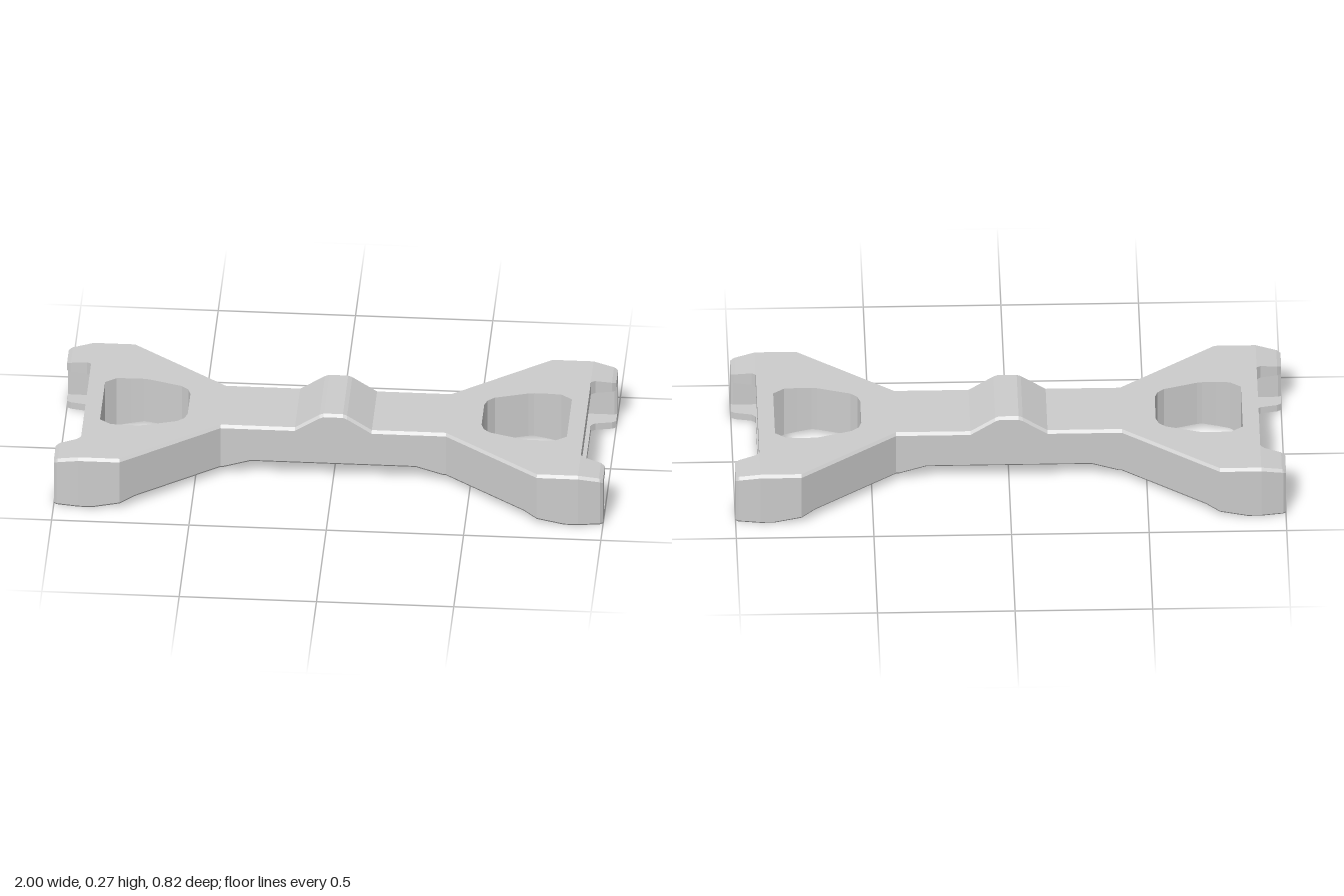
import * as THREE from 'three';

// Piecewise linear profile lookup
const profile = (pts) => (x) => {
  for (let i = 1; i < pts.length; i++) {
    const [x0, v0] = pts[i - 1], [x1, v1] = pts[i];
    if (x <= x1) return v0 + (v1 - v0) * (x - x0) / (x1 - x0);
  }
  return pts[pts.length - 1][1];
};

// Plan half-width, top and bottom heights along x
const outer = profile([[0, 0.145], [0.41, 0.145], [0.76, 0.41], [0.91, 0.41], [0.99, 0.398], [1, 0.39]]);
const top = profile([[0, 0.273], [0.035, 0.273], [0.05, 0.267], [0.14, 0.21], [0.91, 0.21], [0.985, 0.195], [1, 0.188]]);
const bottom = profile([[0, 0.06], [0.3, 0.06], [0.4, 0.03], [0.71, 0.03], [0.85, 0.002], [0.86, 0], [1, 0]]);

const SLOT_LOW = 0.027, SLOT_HIGH = 0.157, SLOT_BACK = 0.88;
const CHAMFER = 0.01;

// Loft one quarter from stations [x, inner z], then mirror it to all four quarters
function loft(stations, yb, yt, chamferBottom, chamferTop) {
  const sections = stations.map(([x, zi]) => {
    const zo = outer(x), lo = yb(x), hi = yt(x);
    const cb = chamferBottom ? CHAMFER : 0, ct = chamferTop ? CHAMFER : 0;
    return [[x, lo, zi], [x, lo, zo - cb], [x, lo + cb, zo], [x, hi - ct, zo], [x, hi, zo - ct], [x, hi, zi]];
  });
  const tris = [];
  const quad = (a, b, c, d) => tris.push([a, b, c], [a, c, d]);
  for (let i = 1; i < sections.length; i++) {
    const A = sections[i - 1], B = sections[i];
    for (let k = 0; k < 6; k++) {
      const n = (k + 1) % 6;
      if (k === 5 && A[0][2] === 0 && B[0][2] === 0) continue; // open on the centre plane
      quad(A[k], B[k], B[n], A[n]);
    }
  }
  const end = sections[sections.length - 1];
  for (let k = 1; k < 5; k++) tris.push([end[0], end[k + 1], end[k]]);

  const pos = [];
  for (const sx of [1, -1]) for (const sz of [1, -1]) {
    for (const t of tris) {
      const order = sx * sz > 0 ? t : [t[0], t[2], t[1]];
      for (const [x, y, z] of order) pos.push(x * sx, y, z * sz);
    }
  }
  const geo = new THREE.BufferGeometry();
  geo.setAttribute('position', new THREE.Float32BufferAttribute(pos, 3));
  geo.computeVertexNormals();
  return geo;
}

export function createModel() {
  const group = new THREE.Group();
  const material = new THREE.MeshStandardMaterial({ color: 0xcccccc, flatShading: true });
  const add = (name, geo) => {
    const mesh = new THREE.Mesh(geo, material);
    mesh.name = name;
    group.add(mesh);
  };

  // Waisted body with the centre ridge and a window in each flared end
  const body = [
    [0, 0], [0.035, 0], [0.05, 0], [0.14, 0], [0.3, 0], [0.4, 0], [0.41, 0],
    [0.535, 0], [0.535, 0.07], [0.545, 0.1], [0.57, 0.122], [0.69, 0.16], [0.71, 0.163], [0.76, 0.163],
    [0.81, 0.16], [0.85, 0.13], [0.85, 0], [0.86, 0], [SLOT_BACK, 0],
  ];
  add('body', loft(body, bottom, top, true, true));

  // Lips above and below the end slot, running out into the corner hooks
  const lip = [[SLOT_BACK, 0], [0.91, 0], [0.91, 0.255], [0.925, 0.268], [0.985, 0.28], [0.99, 0.283], [1, 0.29]];
  add('upperLips', loft(lip, () => SLOT_HIGH, top, false, true));
  add('lowerLips', loft(lip, bottom, () => SLOT_LOW, true, false));

  // Outer walls closing the slot at its sides
  const wall = [[SLOT_BACK, 0.335], [0.91, 0.335], [0.99, 0.335], [1, 0.34]];
  add('slotSideWalls', loft(wall, () => SLOT_LOW, () => SLOT_HIGH, false, false));

  return group;
}
